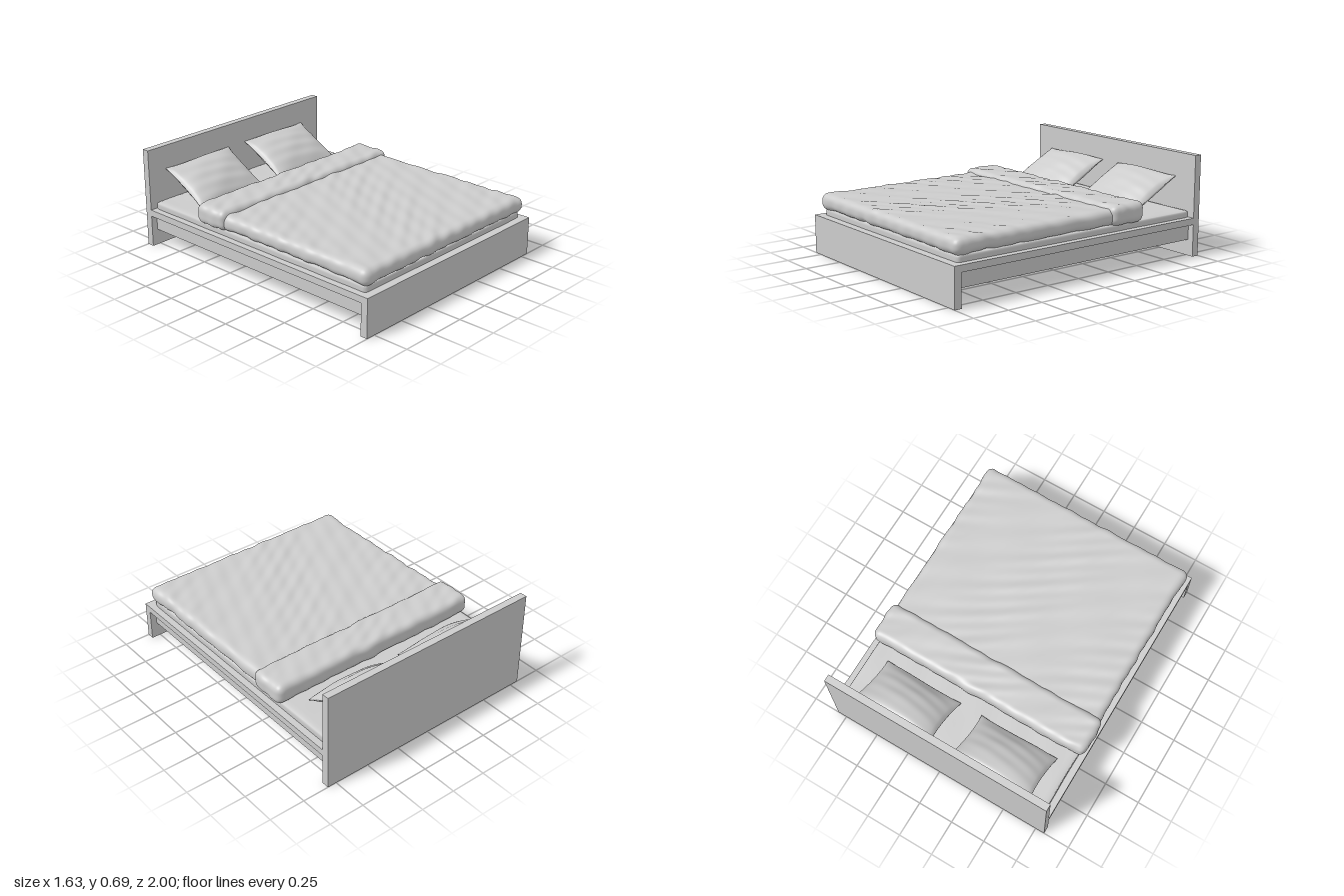
import * as THREE from 'three';
import { mergeVertices } from 'three/addons/utils/BufferGeometryUtils.js';

const material = new THREE.MeshStandardMaterial({ color: 0xcccccc });

function addMesh(group, name, geometry) {
  const mesh = new THREE.Mesh(geometry, material);
  mesh.name = name;
  group.add(mesh);
  return mesh;
}

// Sharp-edged board given by its min and max corners
function board(group, name, [x0, y0, z0], [x1, y1, z1]) {
  const mesh = addMesh(group, name, new THREE.BoxGeometry(x1 - x0, y1 - y0, z1 - z0));
  mesh.position.set((x0 + x1) / 2, (y0 + y1) / 2, (z0 + z1) / 2);
}

// Moves every vertex by a rule, then welds and smooths the surface
function reshape(geometry, rule) {
  geometry.deleteAttribute('uv');
  geometry.deleteAttribute('normal');
  const pos = geometry.attributes.position;
  const p = new THREE.Vector3();
  for (let i = 0; i < pos.count; i++) {
    rule(p.fromBufferAttribute(pos, i));
    pos.setXYZ(i, p.x, p.y, p.z);
  }
  const welded = mergeVertices(geometry, 1e-5);
  welded.computeVertexNormals();
  return welded;
}

// Soft slab with rounded edges; wrinkle(p) pushes the surface outwards
function softSlab(group, name, [x0, y0, z0], [x1, y1, z1], radius, segments, wrinkle) {
  const half = new THREE.Vector3(x1 - x0, y1 - y0, z1 - z0).multiplyScalar(0.5);
  const centre = new THREE.Vector3(x0 + x1, y0 + y1, z0 + z1).multiplyScalar(0.5);
  const inner = half.clone().subScalar(radius);
  const low = inner.clone().negate();
  const core = new THREE.Vector3();
  const box = new THREE.BoxGeometry(half.x * 2, half.y * 2, half.z * 2, ...segments);
  addMesh(group, name, reshape(box, (p) => {
    core.copy(p).clamp(low, inner);
    const normal = p.clone().sub(core).normalize();
    p.copy(core).addScaledVector(normal, radius).add(centre);
    p.addScaledVector(normal, wrinkle(p));
  }));
}

// Diagonal creases, broken up by slower waves
function creases({ x, y, z }) {
  const along = 0.87 * x - 0.5 * z;
  const across = 0.5 * x + 0.87 * z + 0.025 * Math.sin(5 * along + 3 * z);
  const patch = 0.5 + 0.5 * Math.sin(4.3 * along + 6 * across);
  return 0.0025 * Math.sin(62 * across) * patch
    + 0.002 * Math.sin(33 * across + 2 * along + 9 * y)
    + 0.002 * Math.sin(11 * x + 2) * Math.sin(9 * z + 1)
    + 0.0015 * Math.sin(47 * x - 25 * y + 19 * z);
}

// Plump in the middle, thin along the seam, with slightly drawn-in sides
function pillowGeometry(phase) {
  return reshape(new THREE.BoxGeometry(2, 2, 2, 40, 32, 1), (p) => {
    const { x: u, y: v, z: side } = p;
    const bulge = Math.pow((1 - u * u) * (1 - v * v), 0.55);
    const ripple = 1 + 0.035 * Math.sin(13 * v + 2 * u + phase) + 0.02 * Math.sin(7 * u - 5 * v + phase);
    p.set(
      0.287 * u * (1 - 0.045 * (1 - v * v)),
      0.202 * v * (1 - 0.03 * (1 - u * u)),
      side * (0.003 + 0.068 * bulge * ripple) + 0.006 * Math.sin(3 * u + phase) * v
    );
  });
}

export function createModel() {
  const bed = new THREE.Group();
  bed.name = 'doubleBed';

  // Frame
  board(bed, 'headboard', [-0.815, 0, -1], [0.815, 0.69, -0.95]);
  board(bed, 'footboard', [-0.815, 0, 0.95], [0.815, 0.265, 1]);
  board(bed, 'base', [-0.77, 0.11, -0.95], [0.77, 0.22, 0.95]);
  board(bed, 'ledge', [-0.815, 0.22, -0.95], [0.815, 0.265, 0.95]);

  // Mattress
  softSlab(bed, 'mattress', [-0.77, 0.25, -0.948], [0.77, 0.312, 0.945], 0.018, [60, 8, 80],
    (p) => 0.0012 * Math.sin(23 * p.x + 4) * Math.sin(17 * p.z));

  // Duvet, a little wider towards the foot
  softSlab(bed, 'duvet', [-0.785, 0.307, -0.49], [0.785, 0.413, 0.968], 0.046, [100, 10, 110],
    (p) => creases(p) + 0.012 * Math.max(0, p.z - 0.75) / 0.2 * Math.pow(Math.abs(p.x) / 0.79, 12));

  // Turned-back end of the duvet, draped over its sides
  softSlab(bed, 'duvetFold', [-0.808, 0.304, -0.51], [0.808, 0.439, -0.243], 0.045, [110, 12, 28],
    (p) => creases({ x: p.x + 0.4, y: p.y, z: p.z * 1.2 }));

  // Pillows leaning on the headboard
  for (const [name, x, phase] of [['rightPillow', -0.383, 0.5], ['leftPillow', 0.35, 2.4]]) {
    const pillow = addMesh(bed, name, pillowGeometry(phase));
    pillow.position.set(x, 0.428, -0.773);
    pillow.rotation.x = -Math.PI / 3;
  }

  return bed;
}
